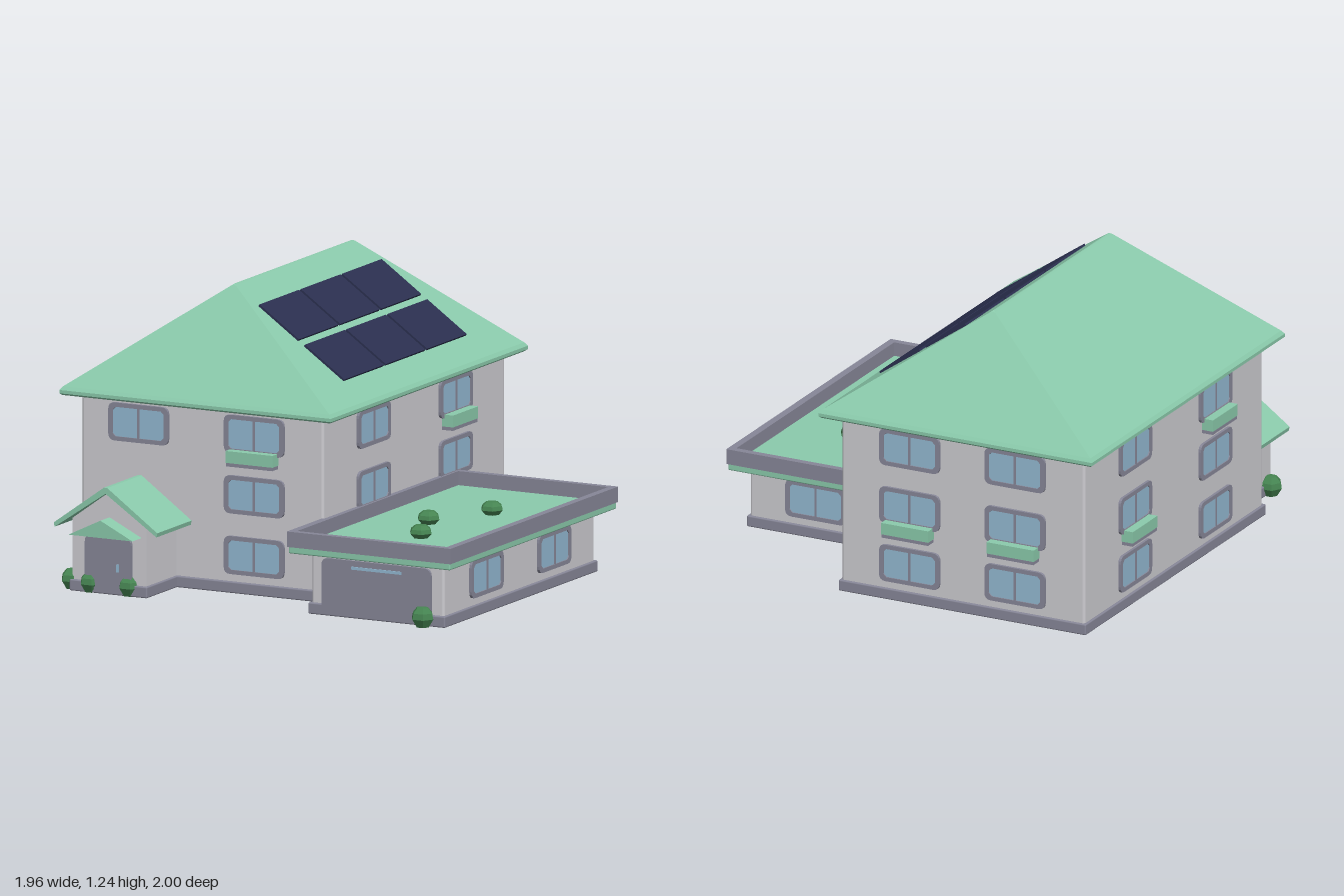
import * as THREE from 'three';
import { RoundedBoxGeometry } from 'three/addons/geometries/RoundedBoxGeometry.js';

const mat = (name, color) => {
  const m = new THREE.MeshStandardMaterial({ color });
  m.name = name;
  return m;
};

export function createModel() {
  const wall = mat('wall', 0xcdccd1);
  const green = mat('roofGreen', 0x8bcbac);
  const trim = mat('greyTrim', 0x878798);
  const glass = mat('glass', 0x93b9d2);
  const solar = mat('solarPanel', 0x2b3050);
  const leaf = mat('leaf', 0x468552);
  leaf.flatShading = true;

  const house = new THREE.Group();
  house.name = 'house';

  const add = (name, geo, material, parent = house) => {
    const m = new THREE.Mesh(geo, material);
    m.name = name;
    parent.add(m);
    return m;
  };
  // Box from its limits, with optional rounded edges
  const block = (name, material, [x0, x1], [y0, y1], [z0, z1], r = 0, parent = house) => {
    const s = [x1 - x0, y1 - y0, z1 - z0];
    const g = r ? new RoundedBoxGeometry(...s, 2, r) : new THREE.BoxGeometry(...s);
    g.translate((x0 + x1) / 2, (y0 + y1) / 2, (z0 + z1) / 2);
    return add(name, g, material, parent);
  };
  const polygon = (pts) => new THREE.Shape(pts.map(([x, y]) => new THREE.Vector2(x, y)));
  const extrude = (shape, depth) =>
    new THREE.ExtrudeGeometry(shape, { depth, bevelEnabled: false, curveSegments: 4 });
  // Rectangle with separate bottom and top corner radii
  const roundRect = (w, h, rb, rt = rb) => {
    const s = new THREE.Shape(), x = w / 2, y = h / 2;
    s.moveTo(-x + rb, -y).lineTo(x - rb, -y);
    s.quadraticCurveTo(x, -y, x, -y + rb).lineTo(x, y - rt);
    s.quadraticCurveTo(x, y, x - rt, y).lineTo(-x + rt, y);
    s.quadraticCurveTo(-x, y, -x, y - rt).lineTo(-x, -y + rb);
    s.quadraticCurveTo(-x, -y, -x + rb, -y);
    return s;
  };

  // Main walls and plinths
  block('mainWalls', wall, [-0.91, 0.22], [0.03, 0.785], [-0.93, 0.655], 0.012);
  block('mainPlinth', trim, [-0.92, 0.23], [0, 0.048], [-0.94, 0.667], 0.006);
  block('garageWalls', wall, [0.285, 0.905], [0.03, 0.275], [-0.435, 0.88], 0.012);
  block('garagePlinth', trim, [0.275, 0.915], [0, 0.048], [-0.445, 0.892], 0.006);
  block('porchPlinth', trim, [-0.82, -0.457], [0, 0.048], [0.6, 0.932], 0.006);

  // Hipped roof lofted through rectangles [x0, x1, z0, z1, y]
  const rings = [
    [-0.97, 0.28, -0.99, 0.71, 0.768],
    [-0.98, 0.29, -1, 0.72, 0.776],
    [-0.98, 0.29, -1, 0.72, 0.79],
    [-0.968, 0.278, -0.99, 0.71, 0.805],
    [-0.352, -0.334, -0.66, 0.385, 1.232],
    [-0.346, -0.34, -0.65, 0.375, 1.237],
  ].map(([x0, x1, z0, z1, y]) => [[x0, y, z1], [x1, y, z1], [x1, y, z0], [x0, y, z0]]);
  const verts = [];
  const quad = (a, b, c, d) => verts.push(...a, ...b, ...c, ...a, ...c, ...d);
  for (let i = 0; i < rings.length - 1; i++)
    for (let k = 0; k < 4; k++) {
      const n = (k + 1) % 4;
      quad(rings[i][k], rings[i][n], rings[i + 1][n], rings[i + 1][k]);
    }
  quad(...rings[0].slice().reverse());
  quad(...rings[rings.length - 1]);
  const roofGeo = new THREE.BufferGeometry();
  roofGeo.setAttribute('position', new THREE.Float32BufferAttribute(verts, 3));
  roofGeo.computeVertexNormals();
  add('hippedRoof', roofGeo, green);

  // Solar panels lying on the right slope
  const slope = (1.232 - 0.805) / (0.278 + 0.334);
  const tilt = Math.atan(slope);
  for (const x of [-0.13, 0.083])
    for (const z of [-0.503, -0.142, 0.219]) {
      const p = add('solarPanel', new THREE.BoxGeometry(0.185 / Math.cos(tilt), 0.009, 0.345), solar);
      p.position.set(x, 1.232 - slope * (x + 0.334) + 0.006, z);
      p.rotation.z = -tilt;
    }

  // Windows, some with a planter below the sill
  const frameShape = roundRect(0.28, 0.16, 0.03);
  for (const s of [-1, 1]) {
    const a = s * 0.004, b = s * 0.12, c = s * 0.106;
    frameShape.holes.push(polygon([
      [a, -0.062], [c, -0.062], [b, -0.048], [b, 0.048], [c, 0.062], [a, 0.062],
    ]));
  }
  const frameGeo = extrude(frameShape, 0.012);
  const glassGeo = new THREE.BoxGeometry(0.25, 0.13, 0.006).translate(0, 0, 0.004);
  const window_ = (x, y, z, turn, planter) => {
    const g = new THREE.Group();
    g.name = 'window';
    add('windowFrame', frameGeo, trim, g);
    add('windowGlass', glassGeo, glass, g);
    if (planter) {
      block('planterBox', green, [-0.11, 0.11], [-0.115, -0.065], [0, 0.052], 0, g);
      block('planterBase', trim, [-0.108, 0.108], [-0.13, -0.115], [0, 0.05], 0, g);
    }
    g.position.set(x, y, z);
    g.rotation.y = turn;
    house.add(g);
  };
  const [low, mid, high] = [0.16, 0.415, 0.67];
  const R = Math.PI / 2;
  window_(-0.64, high, 0.655, 0);
  window_(-0.1, high, 0.655, 0, true);
  window_(-0.1, mid, 0.655, 0);
  window_(-0.1, low, 0.655, 0);
  for (const y of [mid, high]) {
    window_(0.22, y, 0.225, R);
    window_(0.22, y, -0.49, R, y === high);
  }
  for (const y of [low, mid, high]) {
    window_(-0.1, y, -0.93, 2 * R, y === mid);
    window_(-0.59, y, -0.93, 2 * R, y === mid);
    window_(-0.91, y, 0.225, -R, y === high);
    window_(-0.91, y, -0.49, -R, y === mid);
  }
  window_(0.905, low, 0.52, R);
  window_(0.905, low, -0.07, R);
  window_(0.595, low, -0.435, 2 * R);

  // Garage: flat roof, parapet, door with handle
  block('garageRoof', green, [0.215, 0.97], [0.258, 0.292], [-0.505, 0.95], 0.006);
  const rim = polygon([[0.21, -0.955], [0.975, -0.955], [0.975, 0.51], [0.21, 0.51]]);
  rim.holes.push(polygon([[0.243, -0.925], [0.943, -0.925], [0.943, 0.48], [0.243, 0.48]]));
  add('garageParapet', extrude(rim, 0.065).rotateX(-R).translate(0, 0.286, 0), trim);
  add('garageDoor', extrude(roundRect(0.51, 0.21, 0.004, 0.03), 0.012), trim)
    .position.set(0.593, 0.137, 0.88);
  block('garageDoorHandle', glass, [0.48, 0.712], [0.206, 0.218], [0.89, 0.897]);

  // Porch: gabled walls, pitched roof, canopy, door
  const porch = new THREE.Group();
  porch.name = 'porch';
  porch.position.x = -0.638;
  house.add(porch);
  const gable = polygon([[-0.172, 0.03], [0.172, 0.03], [0.172, 0.305], [0, 0.43], [-0.172, 0.305]]);
  add('porchWalls', extrude(gable, 0.32).translate(0, 0, 0.6), wall, porch);
  const pitch = polygon([
    [-0.242, 0.285], [-0.238, 0.267], [0, 0.428], [0.238, 0.267], [0.242, 0.285], [0.008, 0.453], [-0.008, 0.453],
  ]);
  add('porchRoof', extrude(pitch, 0.325).translate(0, 0, 0.63), green, porch);
  const canopy = polygon([[-0.15, 0.25], [0.15, 0.25], [0, 0.323]]);
  add('doorCanopy', extrude(canopy, 0.085).translate(0, 0, 0.915), green, porch);
  add('frontDoor', extrude(roundRect(0.215, 0.225, 0.004, 0.03), 0.02), trim, porch)
    .position.set(0, 0.132, 0.916);
  block('doorHandle', glass, [0.045, 0.053], [0.1, 0.132], [0.935, 0.946], 0, porch);

  // Low-poly bushes on the ground and on the flat roof
  const bushProfile = [[0, 0], [0.028, 0], [0.05, 0.035], [0.045, 0.06], [0.026, 0.082], [0, 0.084]]
    .map(([x, y]) => new THREE.Vector2(x, y));
  const bushGeo = new THREE.LatheGeometry(bushProfile, 6);
  const bushes = [
    [-0.83, 0, 0.885], [-0.73, 0, 0.908], [-0.55, 0, 0.908], [0.82, 0, 0.908],
    [0.65, 0.288, -0.015], [0.51, 0.288, 0.277], [0.62, 0.288, 0.55],
  ];
  for (const [x, y, z] of bushes) {
    const b = add('bush', bushGeo, leaf);
    b.position.set(x, y, z);
    b.rotation.y = R;
    if (y) b.scale.y = 0.7;
  }
  return house;
}
